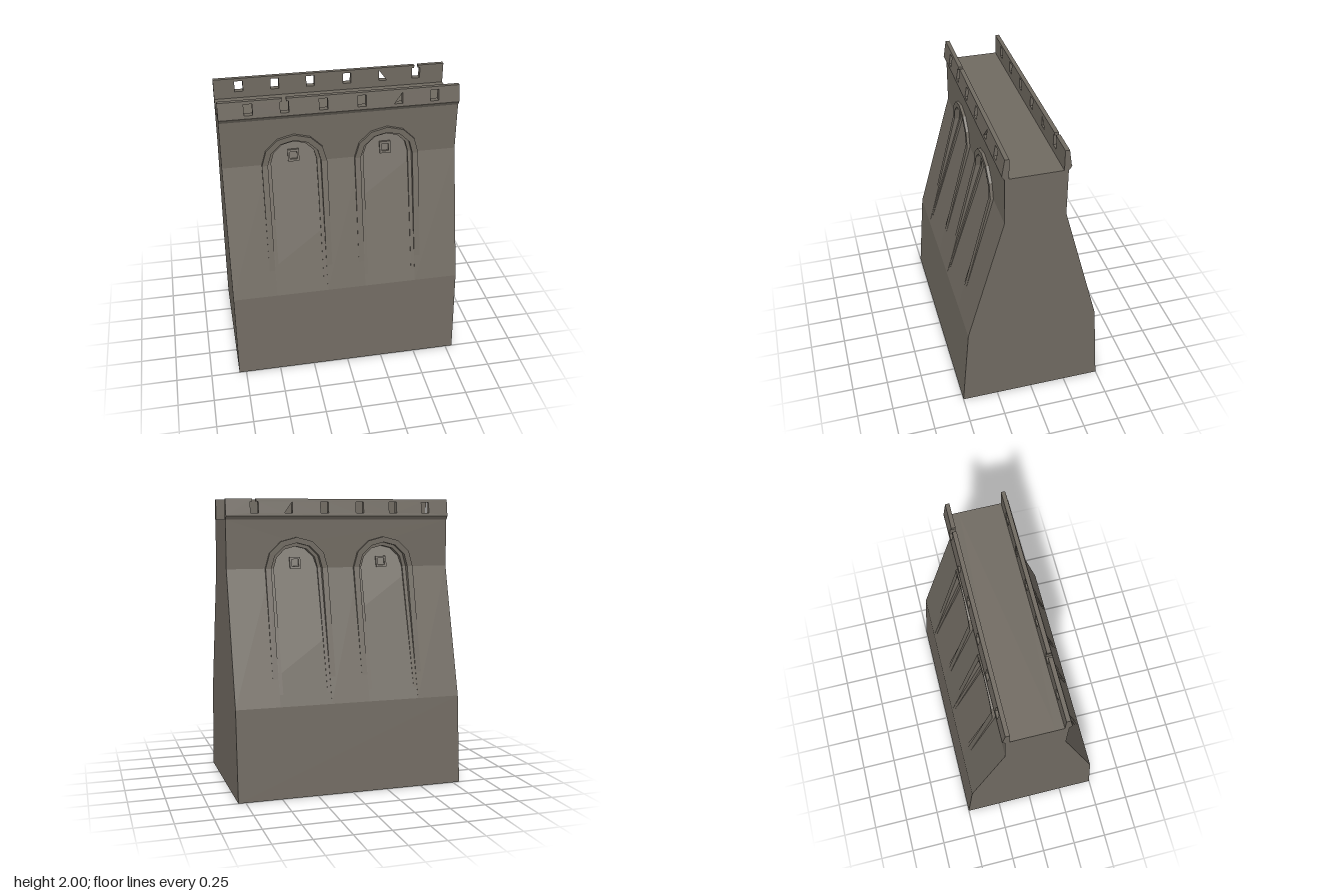
import * as THREE from 'three';

const stone = new THREE.MeshStandardMaterial({ color: 0x706a61 });
stone.name = 'weathered stone';

// Straight line z(y) through two points, given as (y, z) pairs
const line = (y0, z0, y1, z1) => (y) => z0 + ((z1 - z0) * (y - y0)) / (y1 - y0);
const flat = (z) => () => z;

const wallSlope = line(0.62, 0.45, 1.53, 0.2);
const panelSlope = line(0.62, 0.45, 1.68, 0.12);
const behindPanel = (y) => panelSlope(y) - 0.01;

const SPRING = 1.53;
const ARCHES = [-0.315, 0.315];
const R_OUT = 0.22, R_MID = 0.18, R_IN = 0.155;

const toShape = (pts) => new THREE.Shape(pts.map(([x, y]) => new THREE.Vector2(x, y)));
const rect = (x0, x1, y0, y1) => [[x0, y0], [x1, y0], [x1, y1], [x0, y1]];

// Extrudes an outline, then lays its faces on the surfaces zBack(y) and zFront(y)
function slab(name, pts, zFront, zBack, holes = []) {
  const shape = toShape(pts);
  holes.forEach((h) => shape.holes.push(toShape(h)));
  const geo = new THREE.ExtrudeGeometry(shape, { depth: 1, bevelEnabled: false });
  const p = geo.attributes.position;
  for (let i = 0; i < p.count; i++) {
    const y = p.getY(i);
    p.setZ(i, THREE.MathUtils.lerp(zBack(y), zFront(y), p.getZ(i)));
  }
  geo.computeVertexNormals();
  const mesh = new THREE.Mesh(geo, stone);
  mesh.name = name;
  return mesh;
}

// Six-sided half circle, from left to right
function arc(cx, r) {
  const pts = [];
  for (let i = 0; i <= 6; i++) {
    const a = Math.PI * (1 - i / 6);
    pts.push([cx + r * Math.cos(a), SPRING + r * 0.96 * Math.sin(a)]);
  }
  return pts;
}

const archRing = (cx, rOut, rIn) => [...arc(cx, rOut), ...arc(cx, rIn).reverse()];

// Parapet with loopholes, one of them broken open to the top
function parapet(notch, chipped) {
  const g = new THREE.Group();
  g.name = 'parapet';
  const w = 0.028, lo = 1.905, hi = 1.98;
  const holes = [];
  for (const x of [-0.605, -0.37, -0.115, 0.14, 0.385, 0.63]) {
    if (x === notch) continue;
    holes.push(x === chipped
      ? [[x - w, lo], [x + w, lo], [x + w, hi]]
      : rect(x - w, x + w, lo, hi));
  }
  const n = notch, s = 0.014;
  const outline = [
    [-0.8, 1.885], [0.8, 1.885], [0.8, 2], [n + s, 2], [n + s, hi], [n + w, hi],
    [n + w, lo], [n - w, lo], [n - w, hi], [n - s, hi], [n - s, 2], [-0.8, 2],
  ];
  g.add(slab('parapetWall', outline, line(1.885, 0.218, 2, 0.2), flat(0.172), holes));
  g.add(slab('parapetLedge', rect(-0.8, 0.8, 1.86, 1.885),
    line(1.86, 0.205, 1.885, 0.22), flat(0.172)));
  return g;
}

// One face of the wall with its two recessed arches
function wallFace(notch, chipped) {
  const g = new THREE.Group();
  g.name = 'wallFace';

  // Sloping piers beside the recesses
  const edges = [-0.8, ...ARCHES.flatMap((c) => [c - R_MID, c + R_MID]), 0.8];
  for (let i = 0; i < edges.length; i += 2) {
    g.add(slab('pier', rect(edges[i], edges[i + 1], 0.62, SPRING), wallSlope, behindPanel));
  }

  // Upright wall above the piers, cut by the arch heads
  const upper = [[-0.8, SPRING], ...ARCHES.flatMap((c) => arc(c, R_MID)),
    [0.8, SPRING], [0.8, 1.86], [-0.8, 1.86]];
  g.add(slab('upperWall', upper, flat(0.2), flat(0.11)));

  for (const c of ARCHES) {
    const arch = new THREE.Group();
    arch.name = 'archedRecess';
    // Raised surround and inner step, each a head with two tapering legs
    arch.add(slab('archSurround', archRing(c, R_OUT, R_MID), flat(0.22), flat(0.19)));
    arch.add(slab('archStep', archRing(c, R_MID, R_IN), flat(0.184), flat(0.11)));
    for (const side of [-1, 1]) {
      const leg = (a, b, y0) => {
        const xs = [c + side * a, c + side * b].sort((p, q) => p - q);
        return rect(xs[0], xs[1], y0, SPRING);
      };
      arch.add(slab('surroundLeg', leg(R_MID, R_OUT, 0.8),
        line(0.8, wallSlope(0.8), SPRING, 0.22), (y) => wallSlope(y) - 0.01));
      arch.add(slab('stepLeg', leg(R_IN, R_MID, 0.7),
        (y) => (wallSlope(y) + panelSlope(y)) / 2, behindPanel));
    }
    // Small square window frame
    const y = 1.565, o = 0.038, i = 0.024;
    arch.add(slab('windowFrame', rect(c - o, c + o, y - o, y + o),
      (v) => panelSlope(v) + 0.014, behindPanel, [rect(c - i, c + i, y - i, y + i)]));
    g.add(arch);
  }

  g.add(parapet(notch, chipped));
  return g;
}

export function createModel() {
  const model = new THREE.Group();
  model.name = 'fortressWall';

  // Solid core: battered base, recess panels and walkway
  const half = [[0.5, 0], [0.45, 0.62], [0.12, 1.68], [0.12, 1.86]];
  const profile = [...half, ...half.map(([z, y]) => [-z, y]).reverse()];
  const geo = new THREE.ExtrudeGeometry(toShape(profile), { depth: 1.6, bevelEnabled: false });
  geo.translate(0, 0, -0.8);
  geo.rotateY(Math.PI / 2);
  const core = new THREE.Mesh(geo, stone);
  core.name = 'wallCore';
  model.add(core);

  const front = wallFace(-0.37, 0.385);
  const back = wallFace(-0.605, -0.37);
  back.rotation.y = Math.PI;
  model.add(front, back);
  return model;
}
